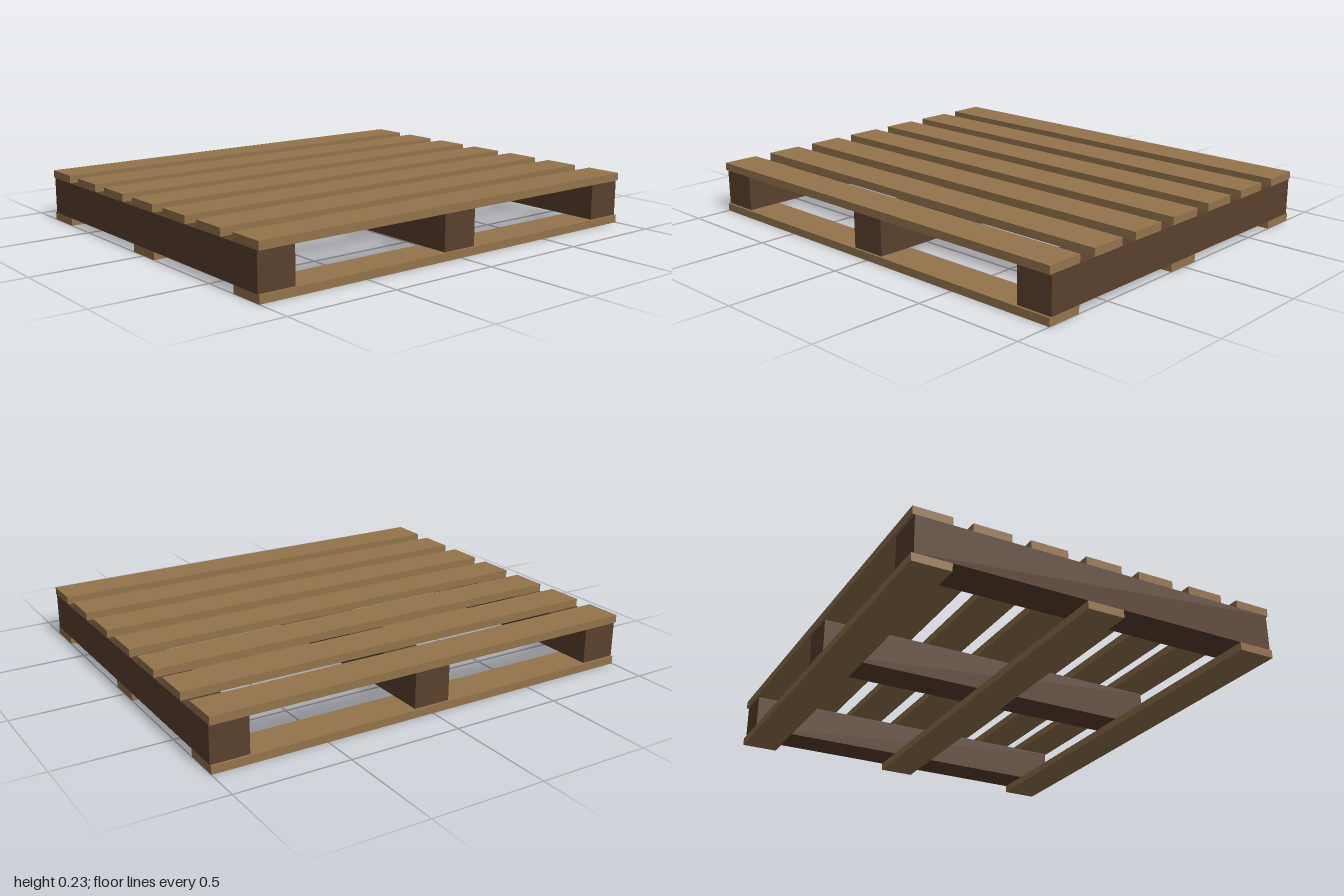
import * as THREE from 'three';

export function createModel() {
  const model = new THREE.Group();
  model.name = 'pallet';

  const boardWood = new THREE.MeshStandardMaterial({ color: 0x94744c });
  boardWood.name = 'light board wood';
  const stringerWood = new THREE.MeshStandardMaterial({ color: 0x5a402d });
  stringerWood.name = 'dark stringer wood';

  const plank = 1 / 6; // width of every board and stringer
  const thick = 0.035; // board thickness
  const rise = 0.163; // stringer height

  const addBox = (name, size, position, material) => {
    const mesh = new THREE.Mesh(new THREE.BoxGeometry(...size), material);
    mesh.name = name;
    mesh.position.set(...position);
    model.add(mesh);
  };

  // Three bottom boards running side to side
  for (const z of [-0.75, 0, 0.75])
    addBox('bottomBoard', [2, thick, plank], [0, thick / 2, z], boardWood);

  // Three stringers running front to back, set in slightly at the ends
  for (const x of [-1, 0, 1])
    addBox('stringer', [plank, rise, 1.645], [x * (1 - plank / 2), thick + rise / 2, 0], stringerWood);

  // Seven evenly spaced deck boards
  for (let i = -3; i <= 3; i++)
    addBox('deckBoard', [2, thick, plank], [0, thick * 1.5 + rise, i * 0.25], boardWood);

  return model;
}
